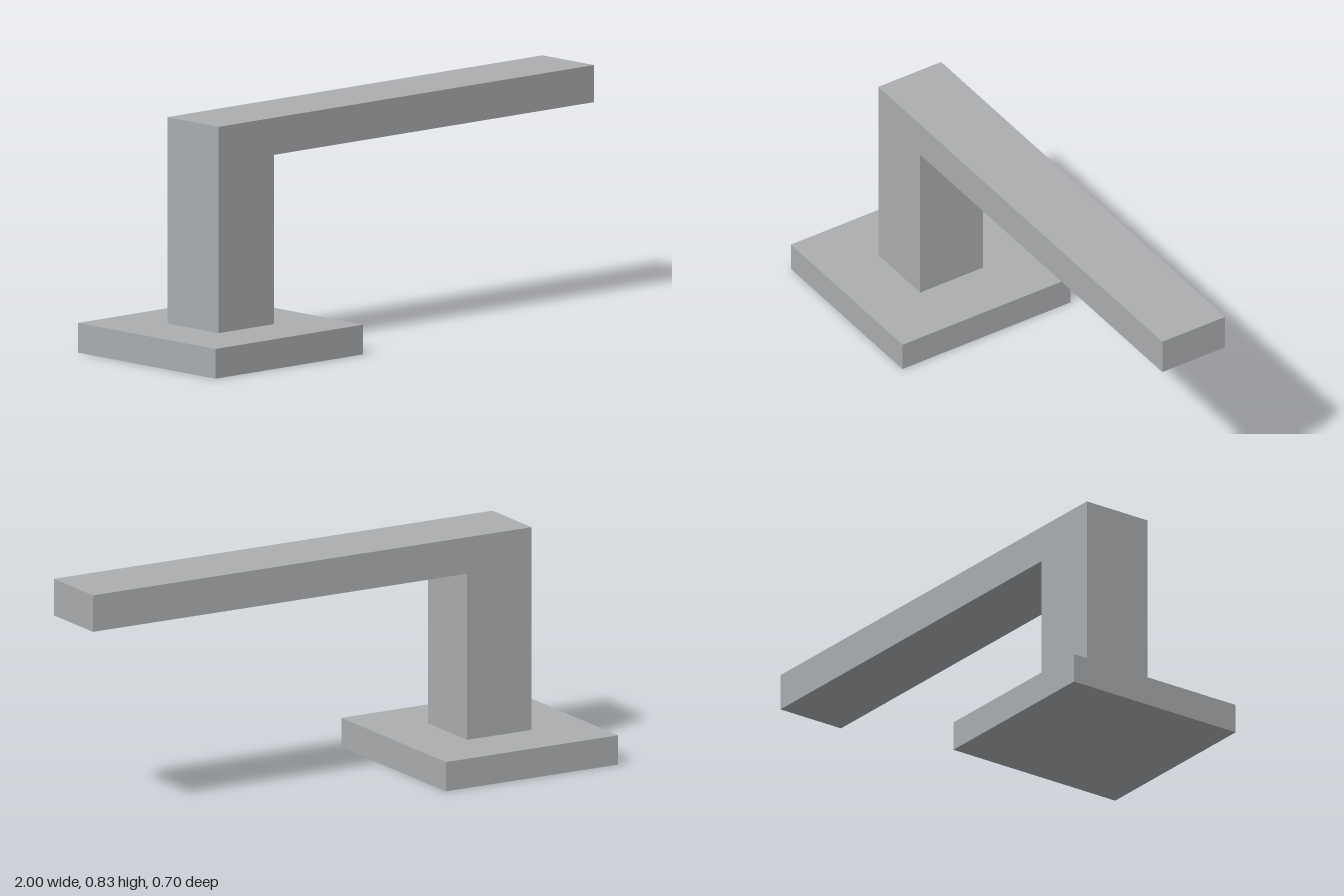
import * as THREE from 'three';

export function createModel() {
  const model = new THREE.Group();
  model.name = 'leverHandle';

  const satinMetal = new THREE.MeshStandardMaterial({ color: 0xabaeb0 });
  satinMetal.name = 'satinMetal';

  // Square mounting plate
  const plateSize = 0.7, plateHeight = 0.105;
  const plate = new THREE.Mesh(new THREE.BoxGeometry(plateSize, plateHeight, plateSize), satinMetal);
  plate.name = 'mountingPlate';
  plate.position.set(-0.65, plateHeight / 2, 0);
  model.add(plate);

  // Neck and lever arm in one L-shaped piece
  const width = 0.262, left = -0.781, neckRight = left + width;
  const armBottom = 0.702, top = 0.833;
  const profile = new THREE.Shape([
    new THREE.Vector2(left, plateHeight),
    new THREE.Vector2(neckRight, plateHeight),
    new THREE.Vector2(neckRight, armBottom),
    new THREE.Vector2(1, armBottom),
    new THREE.Vector2(1, top),
    new THREE.Vector2(left, top),
  ]);
  const leverGeometry = new THREE.ExtrudeGeometry(profile, { depth: width, bevelEnabled: false });
  leverGeometry.translate(0, 0, -width / 2);
  const lever = new THREE.Mesh(leverGeometry, satinMetal);
  lever.name = 'neckAndLever';
  model.add(lever);

  return model;
}
